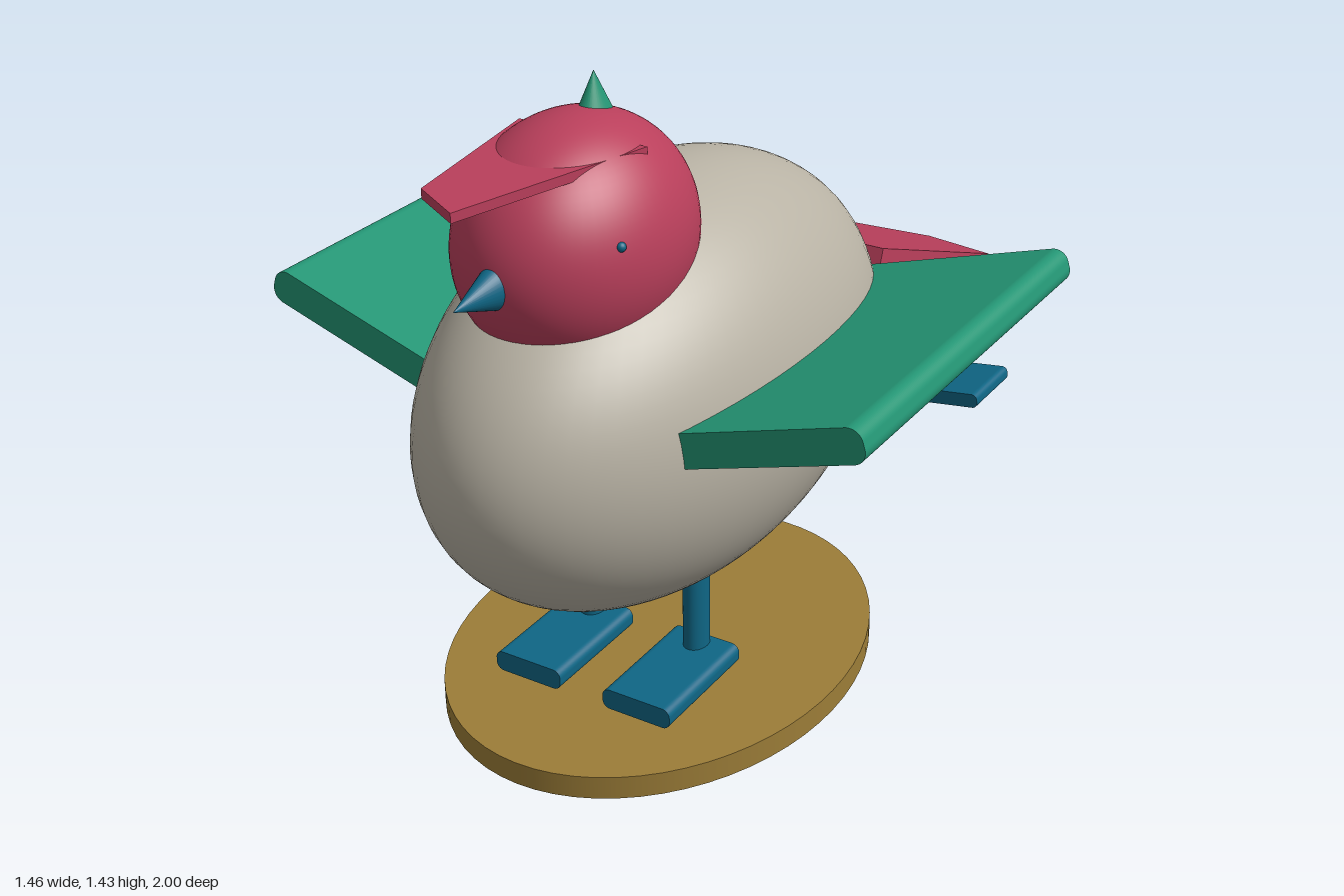
import * as THREE from 'three';

const material = (name, color) => {
  const m = new THREE.MeshStandardMaterial({ color });
  m.name = name;
  return m;
};

export function createModel() {
  const group = new THREE.Group();
  group.name = 'bird';
  const grey = material('warm grey', 0xb8b2a4);
  const red = material('crimson', 0xb93f5b);
  const green = material('green', 0x249675);
  const blue = material('deep blue', 0x0f6685);
  const gold = material('ochre', 0x9c7d38);

  const add = (name, geometry, mat, x, y, z) => {
    const mesh = new THREE.Mesh(geometry, mat);
    mesh.name = name;
    mesh.position.set(x, y, z);
    group.add(mesh);
    return mesh;
  };

  const ellipsoid = (rx, ry, rz) => new THREE.SphereGeometry(1, 64, 48).scale(rx, ry, rz);

  // Centred slab along z whose x-y section has rounded corners
  const bar = (w, h, d, r) => {
    const s = new THREE.Shape();
    const x = w / 2, y = h / 2;
    s.moveTo(-x + r, -y);
    s.absarc(x - r, -y + r, r, -Math.PI / 2, 0);
    s.absarc(x - r, y - r, r, 0, Math.PI / 2);
    s.absarc(-x + r, y - r, r, Math.PI / 2, Math.PI);
    s.absarc(-x + r, -y + r, r, Math.PI, Math.PI * 1.5);
    return new THREE.ExtrudeGeometry(s, { depth: d, bevelEnabled: false, curveSegments: 10 })
      .translate(0, 0, -d / 2);
  };

  // Flat polygon plate
  const plate = (points, depth) => new THREE.ExtrudeGeometry(
    new THREE.Shape(points.map(([x, y]) => new THREE.Vector2(x, y))),
    { depth, bevelEnabled: false });

  // Oval stand
  add('stand', new THREE.CylinderGeometry(1, 1, 0.052, 64).scale(0.433, 1, 0.555), gold, 0, 0.026, 0.3);

  // Body and head
  add('body', ellipsoid(0.383, 0.452, 0.677), grey, 0, 0.708, 0.3);
  add('head', ellipsoid(0.221, 0.25, 0.282), red, 0, 1.12, 0.578);

  // Beak and crest
  add('beak', new THREE.ConeGeometry(1, 0.14, 32).rotateX(Math.PI / 2).scale(0.039, 0.051, 1),
    blue, 0, 1.112, 0.9);
  add('crest', new THREE.ConeGeometry(1, 0.083, 32).scale(0.032, 1, 0.044), green, 0, 1.391, 0.507);

  // Visor, slightly skewed to one side
  add('visor', plate([[-0.147, 0.55], [0.147, 0.55], [0.027, 0.995], [-0.088, 0.93]], 0.02)
    .rotateX(Math.PI / 2), red, 0, 1.32, 0);

  // Tail, tilted down towards the back
  const tail = add('tail', plate(
    [[-0.136, 0], [0.136, 0], [0.217, 0.453], [0, 0.57], [-0.217, 0.453]], 0.05)
    .translate(0, 0, -0.05).rotateX(-Math.PI / 2), red, 0, 0.727, -0.465);
  tail.rotation.x = -0.352;

  // Mirrored parts
  for (const [side, s] of [['left', 1], ['right', -1]]) {
    add(side + 'Eye', new THREE.SphereGeometry(0.01, 16, 12), blue, s * 0.187, 1.183, 0.705);

    const wing = add(side + 'Wing', bar(0.595, 0.074, 0.925, 0.03), green, s * 0.405, 0.814, 0.228);
    wing.rotation.z = s * 0.304;

    const tab = add(side + 'WingTab', bar(0.214, 0.028, 0.142, 0.011), blue, s * 0.624, 0.812, 0.228);
    tab.rotation.z = s * 0.14;

    add(side + 'Leg', new THREE.CylinderGeometry(1, 1, 0.34, 32).scale(0.027, 1, 0.035),
      blue, s * 0.134, 0.26, 0.37);
    add(side + 'Foot', bar(0.166, 0.047, 0.282, 0.018), blue, s * 0.137, 0.089, 0.476);
  }

  return group;
}
